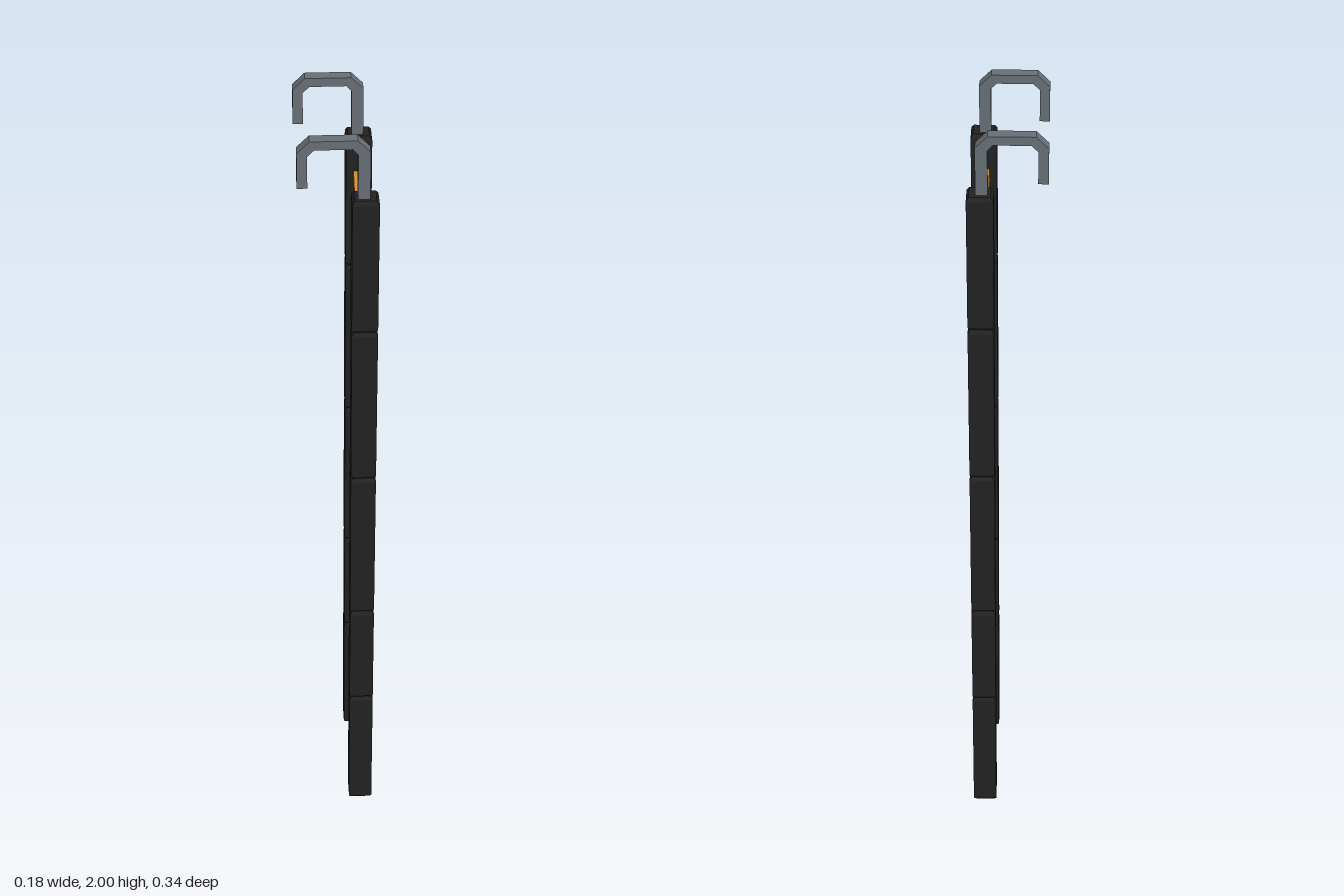
import * as THREE from 'three';

const railMat = new THREE.MeshStandardMaterial({ name: 'black rail', color: 0x222222 });
const rungMat = new THREE.MeshStandardMaterial({ name: 'orange rung', color: 0xd68c28 });
const hookMat = new THREE.MeshStandardMaterial({ name: 'grey steel', color: 0x687077 });

const polygon = (points) => new THREE.Shape(points.map(([x, y]) => new THREE.Vector2(x, y)));

// Square rail segment with tapered ends, standing from y0 to y1
function railSegment(y0, y1) {
  const w = 0.03, d = 0.028, taper = 0.009;
  const geo = new THREE.ExtrudeGeometry(polygon([[-w, -d], [w, -d], [w, d], [-w, d]]), {
    depth: y1 - y0 - 2 * taper, bevelThickness: taper, bevelSize: 0.006, bevelOffset: -0.006, bevelSegments: 1,
  });
  geo.rotateX(-Math.PI / 2);
  geo.translate(0.06, y0 + taper, 0);
  return geo;
}

export function createModel() {
  const model = new THREE.Group();
  model.name = 'hookLadder';
  const add = (parent, name, geo, mat) => {
    const mesh = new THREE.Mesh(geo, mat);
    mesh.name = name;
    parent.add(mesh);
    return mesh;
  };

  // Hook outline: post, chamfered top bar and short drop
  const hookGeo = new THREE.ExtrudeGeometry(polygon([
    [0.07, 1.84], [0.07, 1.972], [0.042, 2], [-0.062, 2], [-0.09, 1.972], [-0.09, 1.886],
    [-0.067, 1.886], [-0.067, 1.964], [-0.052, 1.979], [0.031, 1.979], [0.043, 1.966], [0.043, 1.84],
  ]), { depth: 0.028, bevelEnabled: false });
  hookGeo.translate(0, 0, -0.014);

  // Two rails of stacked segments, each with a hook on top
  const joints = [0, 0.372, 0.668, 1.092, 1.512, 1.856];
  for (const side of [1, -1]) {
    const rail = new THREE.Group();
    rail.name = side > 0 ? 'frontRail' : 'backRail';
    rail.position.z = side * 0.143;
    for (let i = 0; i < joints.length - 1; i++) {
      add(rail, 'railSegment', railSegment(joints[i], joints[i + 1]), railMat);
    }
    add(rail, 'hook', hookGeo, hookMat);
    model.add(rail);
  }

  // Rungs dip in the middle; outline is [z, y], extruded across x
  const top = [[0.125, 0.036], [0.082, 0.036], [0.042, 0.01], [-0.053, 0.01], [-0.093, 0.036], [-0.125, 0.036]];
  const bottom = top.map(([z, y]) => [z, y - 0.02]).reverse();
  const rungGeo = new THREE.ExtrudeGeometry(polygon([...top, ...bottom]), { depth: 0.023, bevelEnabled: false });
  rungGeo.rotateY(-Math.PI / 2);
  rungGeo.translate(0.07, 0, 0);
  for (let i = 0; i < 17; i++) {
    add(model, 'rung', rungGeo, rungMat).position.y = 0.098 + i * 0.1022;
  }
  return model;
}
